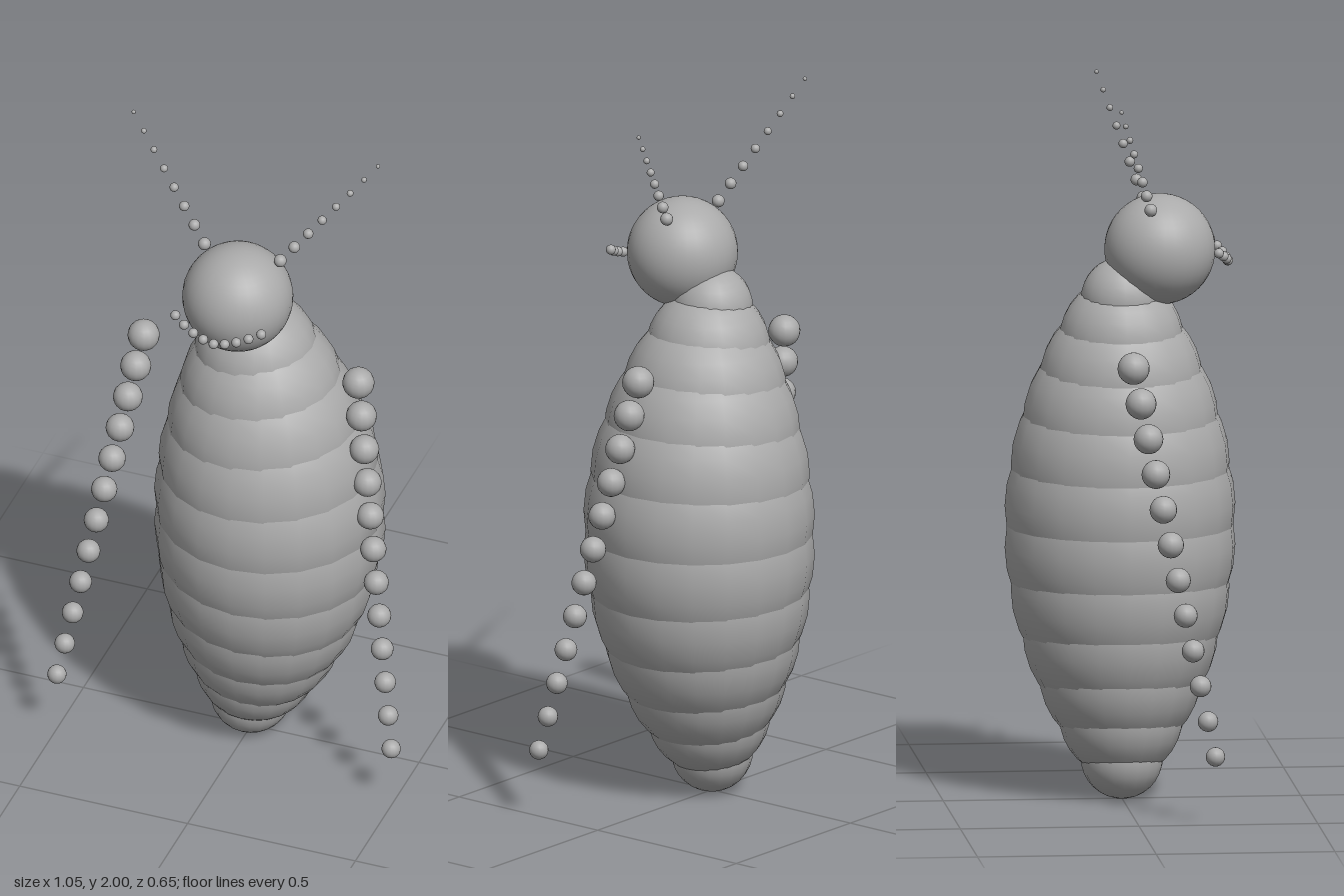
import * as THREE from 'three';

const grey = new THREE.MeshStandardMaterial({ color: 0xaaaaaa });
grey.name = 'plain grey';

function ball(name, r, x, y, z, w = 16, h = 12) {
  const mesh = new THREE.Mesh(new THREE.SphereGeometry(r, w, h), grey);
  mesh.name = name;
  mesh.position.set(x, y, z);
  return mesh;
}

// A row of beads; at(t) gives [radius, x, y, z] for t from 0 to 1
function beadRow(name, count, at, w, h) {
  const group = new THREE.Group();
  group.name = name;
  for (let i = 0; i < count; i++) {
    group.add(ball(name + 'Bead', ...at(i / (count - 1)), w, h));
  }
  return group;
}

export function createModel() {
  const model = new THREE.Group();
  model.name = 'segmentedCreature';
  const lerp = THREE.MathUtils.lerp;

  // Body: overlapping spheres, fattest in the middle and bowed towards +x
  model.add(beadRow('body', 12, (t) => {
    const s = Math.sin(Math.PI * t);
    return [0.115 + 0.21 * s, 0.056 * s, lerp(0.117, 1.412, t), 0];
  }, 20, 16));

  // Head
  model.add(ball('head', 0.155, 0, 1.55, 0.106, 32, 24));

  // Smile: a curved row of small beads in front of the head
  model.add(beadRow('mouth', 9, (t) => {
    const u = 2 * t - 1;
    return [0.014, 0.128 * u, 1.514 + 0.041 * Math.abs(u) ** 1.4, 0.296 - 0.037 * u * u];
  }));

  for (const [side, sx] of [['left', 1], ['right', -1]]) {
    // Antennae taper up, out and back
    model.add(beadRow(side + 'Antenna', 8, (t) => [
      lerp(0.018, 0.006, t), sx * lerp(0.113, 0.364, t), lerp(1.677, 1.994, t), lerp(0.07, -0.036, t),
    ]));
    // Arms hang down, out and forward
    model.add(beadRow(side + 'Arm', 12, (t) => [
      lerp(0.045, 0.027, t), sx * lerp(0.32, 0.498, t), lerp(1.264, 0.194, t), lerp(0.002, 0.214, t),
    ]));
  }
  return model;
}
